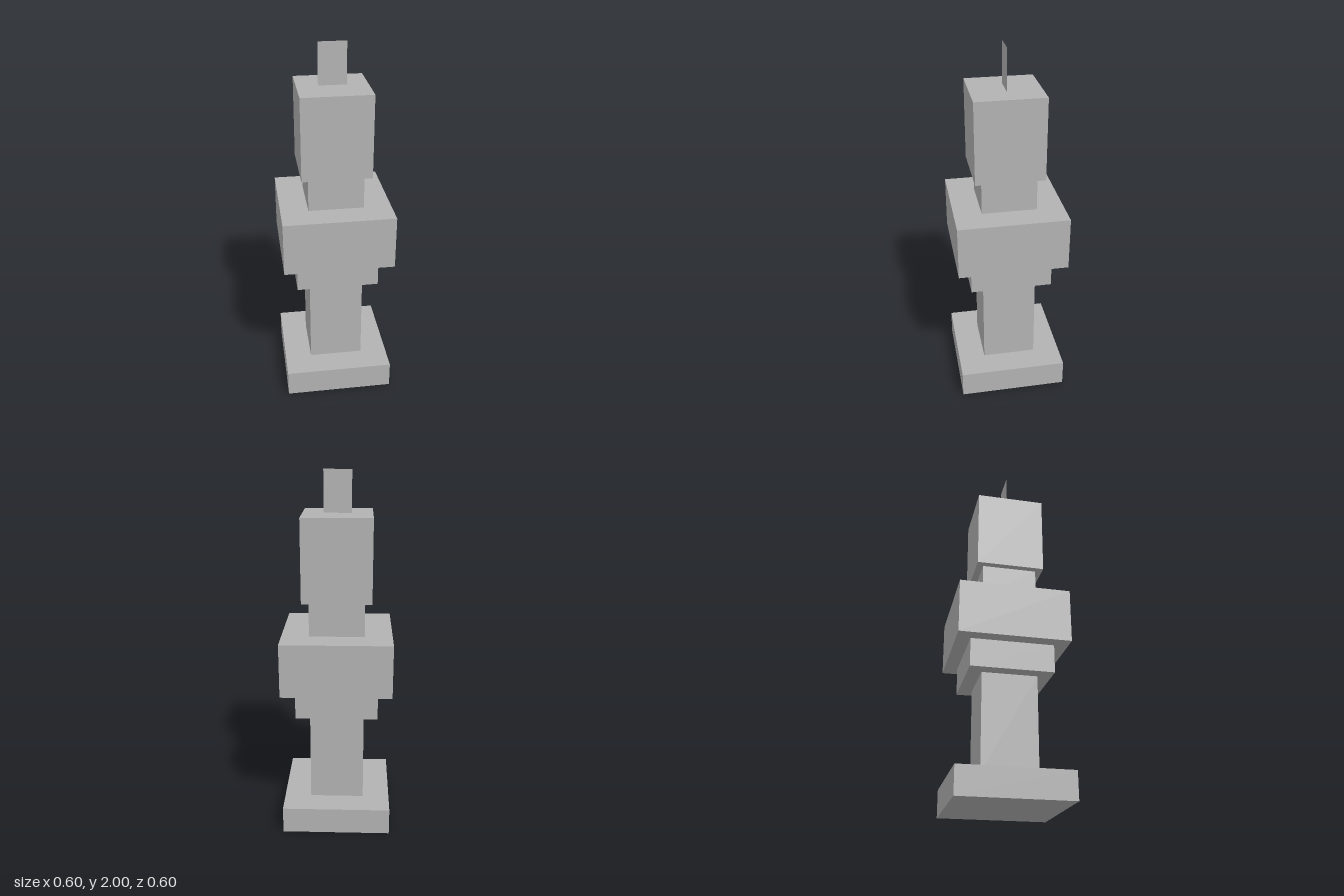
import * as THREE from 'three';

export function createModel() {
  const group = new THREE.Group();
  const stone = new THREE.MeshStandardMaterial({ color: 0xb2b2b2, side: THREE.DoubleSide });
  stone.name = 'grey stone';

  // Square blocks stacked from the ground up: name, width, bottom, top
  const blocks = [
    ['base', 0.604, 0, 0.15],
    ['shaft', 0.302, 0.15, 0.68],
    ['collar', 0.453, 0.68, 0.835],
    ['capital', 0.604, 0.835, 1.132],
    ['neck', 0.302, 1.132, 1.321],
    ['head', 0.377, 1.321, 1.774],
  ];
  for (const [name, width, bottom, top] of blocks) {
    const mesh = new THREE.Mesh(new THREE.BoxGeometry(width, top - bottom, width), stone);
    mesh.name = name;
    mesh.position.y = (bottom + top) / 2;
    group.add(mesh);
  }

  // Flat upright plate standing on the head, seen from both sides
  const crest = new THREE.Mesh(new THREE.PlaneGeometry(0.151, 0.226), stone);
  crest.name = 'crest';
  crest.position.y = 1.887;
  group.add(crest);

  return group;
}
